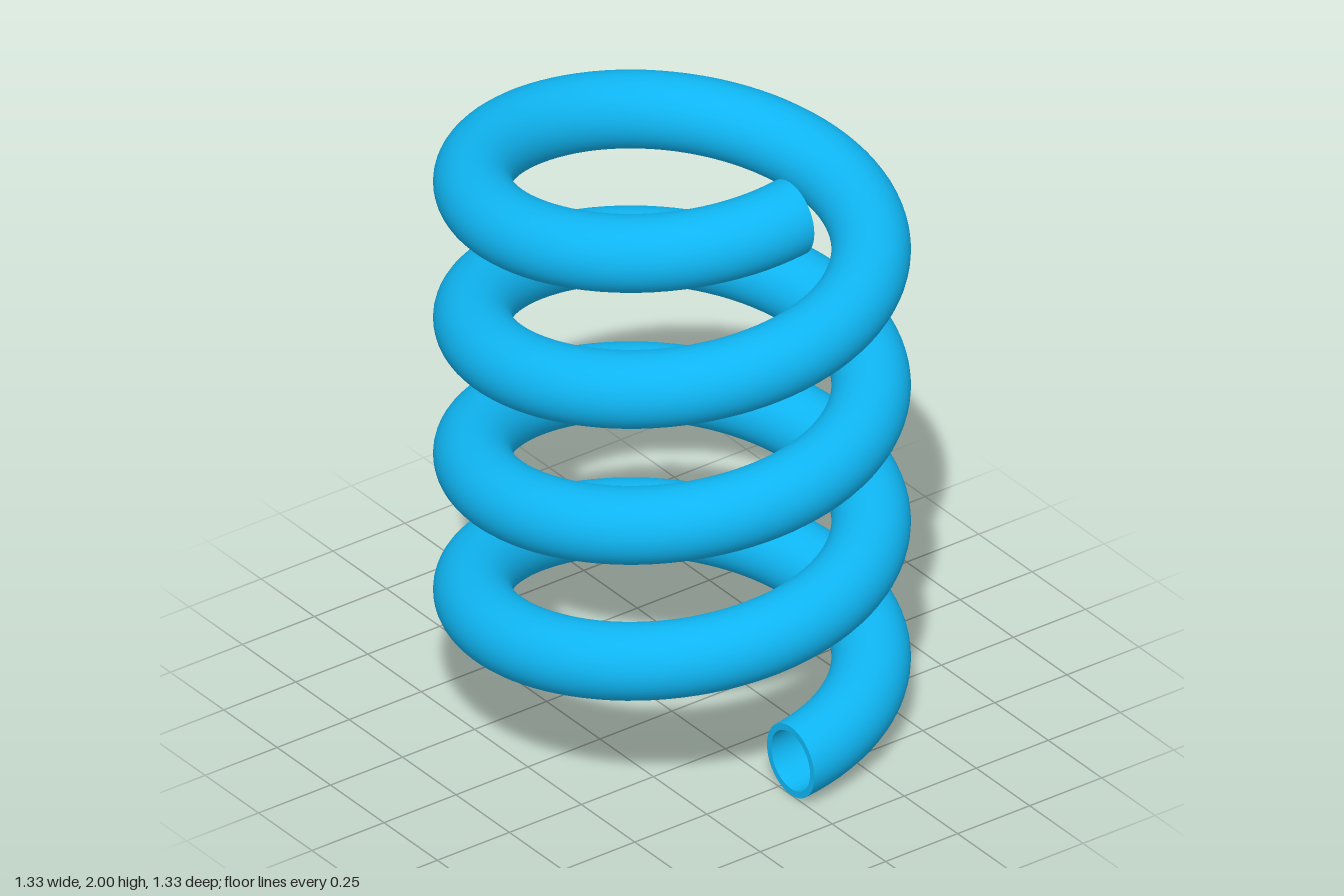
import * as THREE from 'three';
import { ParametricGeometry } from 'three/addons/geometries/ParametricGeometry.js';

const TURNS = 4;
const COIL_RADIUS = 0.5555; // axis to centre of the tube
const TUBE_RADIUS = 0.111;
const BORE_RADIUS = 0.091;
const PITCH = (2 - 2 * TUBE_RADIUS) / TURNS;
const SIDES = 40;

// Sweeps a circle, kept upright in the radial plane, along the helix.
// direction -1 turns the surface inside out for the bore.
function helixSurface(radius, direction) {
  return new ParametricGeometry((u, v, target) => {
    const turn = u * TURNS * Math.PI * 2;
    const around = direction * v * Math.PI * 2;
    const r = COIL_RADIUS + radius * Math.cos(around);
    const y = TUBE_RADIUS + u * TURNS * PITCH + radius * Math.sin(around);
    target.set(r * Math.cos(turn), y, -r * Math.sin(turn));
  }, TURNS * 96, SIDES);
}

export function createModel() {
  const group = new THREE.Group();
  group.name = 'coilSpring';
  const material = new THREE.MeshStandardMaterial({ color: 0x0fb5f2 });

  const add = (name, geometry) => {
    const mesh = new THREE.Mesh(geometry, material);
    mesh.name = name;
    group.add(mesh);
    return mesh;
  };

  // Hollow coil
  add('coilOuterWall', helixSurface(TUBE_RADIUS, 1));
  add('coilBore', helixSurface(BORE_RADIUS, -1));

  // Flat annular rims closing the wall at both open ends
  const rim = new THREE.RingGeometry(BORE_RADIUS, TUBE_RADIUS, SIDES);
  add('bottomEndRim', rim).position.set(COIL_RADIUS, TUBE_RADIUS, 0);
  const top = add('topEndRim', rim);
  top.position.set(COIL_RADIUS, 2 - TUBE_RADIUS, 0);
  top.rotation.y = Math.PI;

  return group;
}
